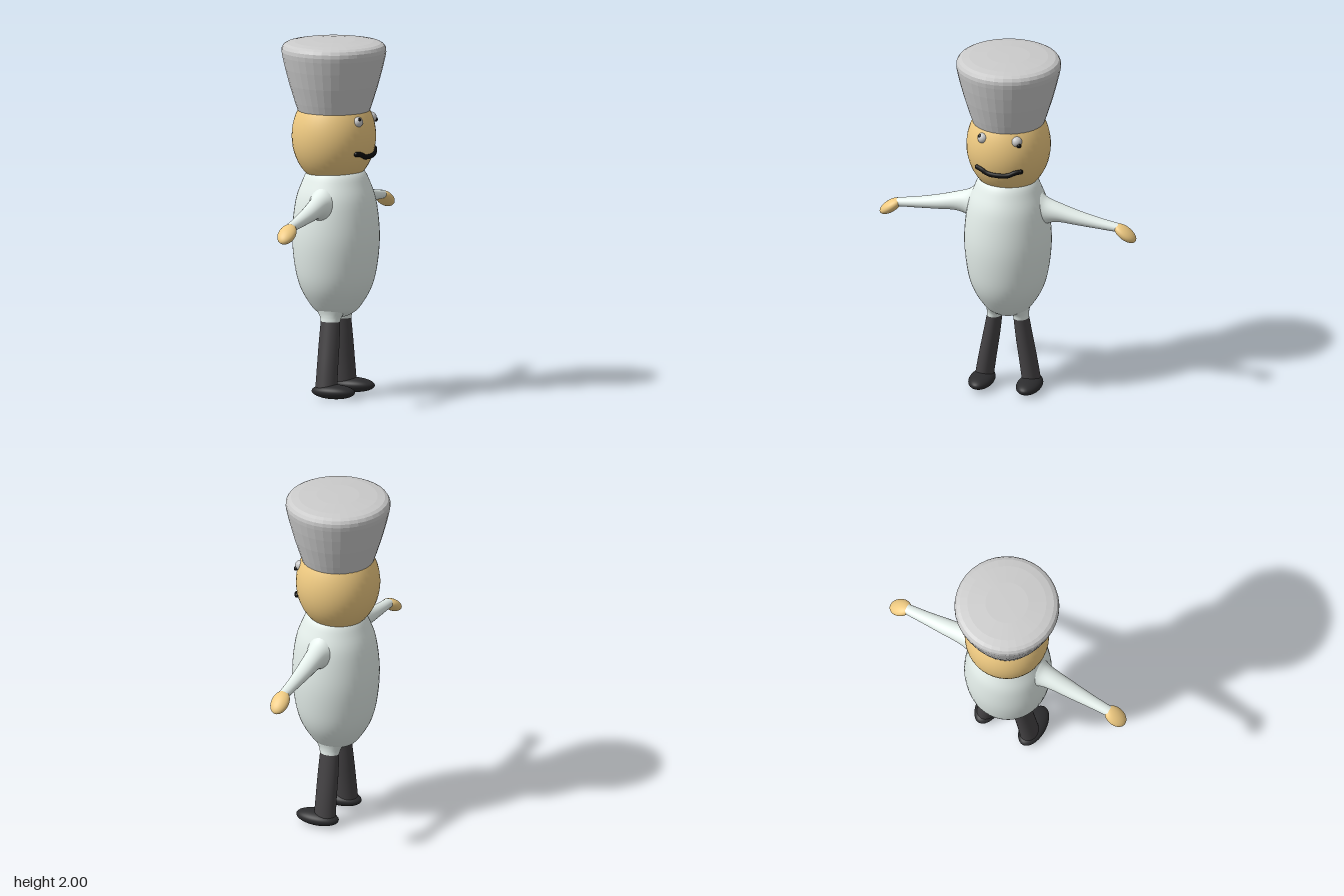
import * as THREE from 'three';

const mat = (color, extra = {}) => new THREE.MeshStandardMaterial({ color, ...extra });
const CENTRE = 0.013; // the body and limbs sit slightly forward of the head

function add(parent, name, geometry, material) {
  const mesh = new THREE.Mesh(geometry, material);
  mesh.name = name;
  parent.add(mesh);
  return mesh;
}

function ellipsoid(parent, name, material, pos, radii) {
  const mesh = add(parent, name, new THREE.SphereGeometry(1, 40, 28), material);
  mesh.position.set(...pos);
  mesh.scale.set(...radii);
  return mesh;
}

// Smooth loft along y; each section is [height, z offset, x radius, z radius]
function loft(sections, rows = 24, sides = 28) {
  const path = new THREE.CatmullRomCurve3(sections.map(s => new THREE.Vector3(s[0], s[1], 0)), false, 'catmullrom');
  const size = new THREE.CatmullRomCurve3(sections.map(s => new THREE.Vector3(s[2], s[3], 0)), false, 'catmullrom');
  const pos = [], idx = [];
  for (let i = 0; i <= rows; i++) {
    const p = path.getPoint(i / rows), r = size.getPoint(i / rows);
    for (let j = 0; j < sides; j++) {
      const t = (j / sides) * Math.PI * 2;
      pos.push(r.x * Math.cos(t), p.x, p.y + r.y * Math.sin(t));
      if (i === rows) continue;
      const a = i * sides + j, c = i * sides + (j + 1) % sides;
      idx.push(a, a + sides, c, a + sides, c + sides, c);
    }
  }
  const g = new THREE.BufferGeometry();
  g.setAttribute('position', new THREE.Float32BufferAttribute(pos, 3));
  g.setIndex(idx);
  g.computeVertexNormals();
  return g;
}

const profile = pts => pts.map(p => new THREE.Vector2(...p));

export function createModel() {
  const model = new THREE.Group();
  const white = mat(0xe6f0ec), skin = mat(0xf0cb82), dark = mat(0x444244);
  const shoeMat = mat(0x2c2c2e), black = mat(0x0c0c0c), grey = mat(0xcccccc);

  // Egg-shaped torso
  const torso = new THREE.SplineCurve(profile([
    [0, 0.44], [0.06, 0.447], [0.1, 0.468], [0.135, 0.5], [0.195, 0.6], [0.228, 0.72], [0.244, 0.9],
    [0.226, 1.09], [0.19, 1.2], [0.155, 1.265], [0.09, 1.305], [0, 1.315]])).getPoints(48);
  torso[0].x = torso[48].x = 0;
  add(model, 'torso', new THREE.LatheGeometry(torso, 48), white).position.x = CENTRE;

  // Head
  const HEAD = { y: 1.46, r: 0.235, ry: 0.28 };
  ellipsoid(model, 'head', skin, [0, HEAD.y, 0], [HEAD.r, HEAD.ry, HEAD.r]);
  const faceX = (y, z) => HEAD.r * Math.sqrt(1 - ((y - HEAD.y) / HEAD.ry) ** 2 - (z / HEAD.r) ** 2);

  // Tall flared hat with a rounded rim
  add(model, 'hat', new THREE.LatheGeometry(profile([
    [0, 1.6], [0.2, 1.6], [0.217, 1.65], [0.248, 1.75], [0.272, 1.84], [0.288, 1.91], [0.292, 1.935],
    [0.29, 1.955], [0.28, 1.972], [0.262, 1.982], [0.22, 1.99], [0.12, 1.998], [0, 2]]), 36),
  mat(0xcccccc, { flatShading: true }));

  // Eyes looking in different directions
  for (const [name, z, py, pz] of [['left', 0.095, 1.573, 0.105], ['right', -0.1, 1.545, -0.119]]) {
    ellipsoid(model, name + 'Eye', grey, [faceX(1.56, z) - 0.012, 1.56, z], [0.03, 0.03, 0.03]);
    ellipsoid(model, name + 'Pupil', black, [faceX(py, pz) + 0.012, py, pz], [0.012, 0.013, 0.013]);
  }

  // Moustache following the face
  const whisker = [[0.125, 1.383], [0.095, 1.378], [0.06, 1.362], [0, 1.358], [-0.06, 1.362], [-0.095, 1.378], [-0.125, 1.383]]
    .map(([z, y]) => new THREE.Vector3(faceX(y, z) + 0.003, y, z));
  add(model, 'moustache', new THREE.TubeGeometry(new THREE.CatmullRomCurve3(whisker), 36, 0.014, 10), black);
  for (const i of [0, 6]) ellipsoid(model, 'moustacheTip', black, whisker[i].toArray(), [0.014, 0.014, 0.014]);

  // Limbs: one side built along +z, the other turned half round
  const armGeo = loft([
    [0.14, -1.05, 0.12, 0.18], [0.19, -1.08, 0.085, 0.112], [0.23, -1.087, 0.066, 0.074], [0.3, -1.084, 0.055, 0.053],
    [0.4, -1.066, 0.047, 0.041], [0.52, -1.048, 0.037, 0.031], [0.64, -1.034, 0.03, 0.024]]).rotateX(Math.PI / 2);
  const legGeo = loft([[0.04, 0.138, 0.063, 0.052], [0.17, 0.118, 0.061, 0.05], [0.3, 0.096, 0.06, 0.047], [0.43, 0.076, 0.056, 0.042]]);
  const hipGeo = loft([[0.425, 0.077, 0.057, 0.043], [0.45, 0.073, 0.063, 0.046], [0.48, 0.068, 0.08, 0.055], [0.54, 0.06, 0.11, 0.08]]);
  for (const [name, s] of [['left', 1], ['right', -1]]) {
    const side = new THREE.Group();
    side.name = name + 'Limbs';
    side.position.x = CENTRE;
    side.rotation.y = s > 0 ? 0 : Math.PI;
    model.add(side);
    add(side, name + 'Arm', armGeo, white);
    ellipsoid(side, name + 'Hand', skin, [0, 1.005, 0.678], [0.052, 0.033, 0.074]).rotation.x = 0.62;
    add(side, name + 'Hip', hipGeo, white);
    add(side, name + 'Leg', legGeo, dark);
    ellipsoid(model, name + 'Shoe', shoeMat, [0.057, 0.041, s * 0.138], [0.128, 0.041, 0.07]);
  }
  return model;
}
